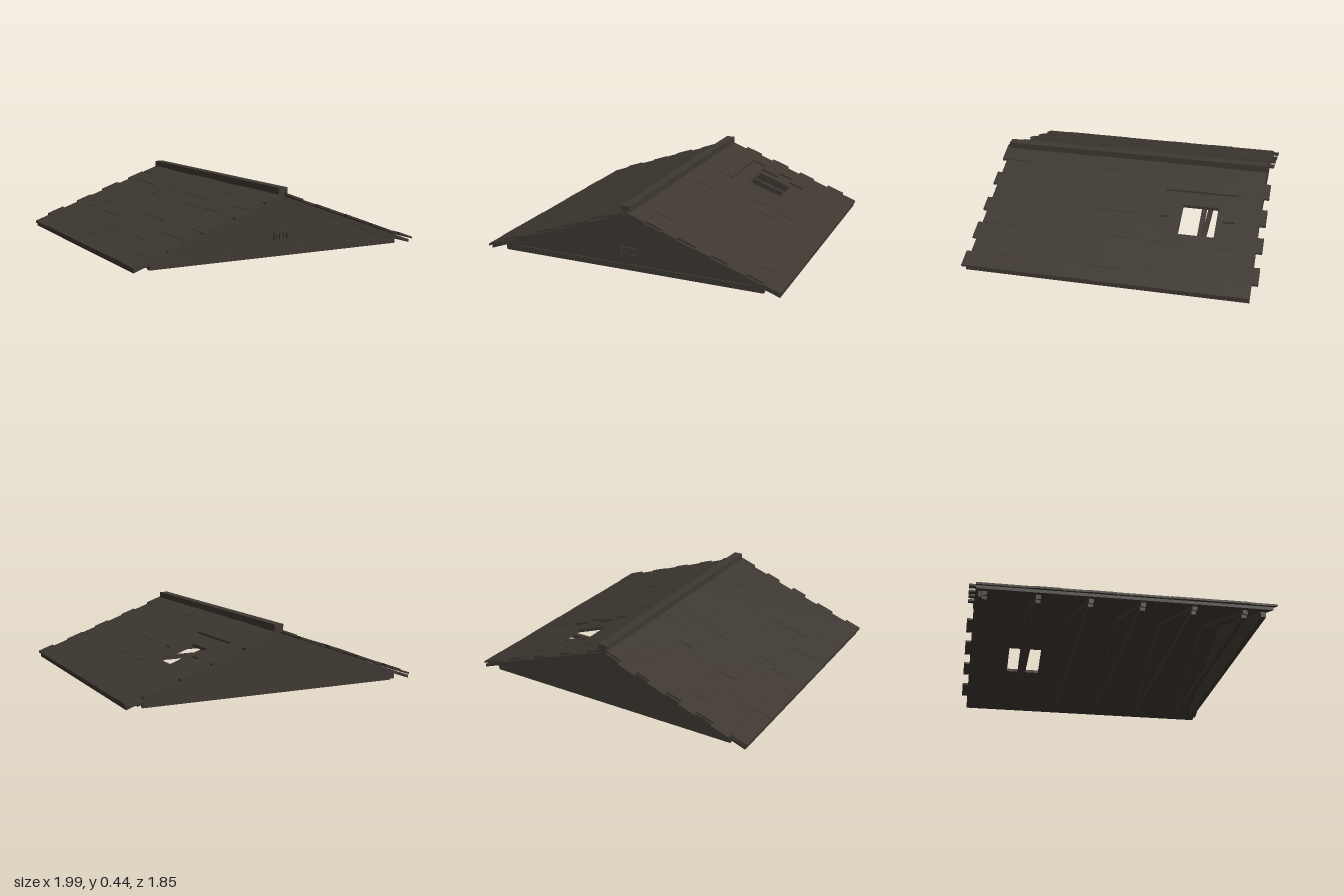
import * as THREE from 'three';
import { mergeGeometries } from 'three/addons/utils/BufferGeometryUtils.js';

const SLOPE = 0.36;
const BACK = -0.885, FRONT = 0.895;

export function createModel() {
  const roof = new THREE.Group();
  roof.name = 'gableRoof';
  const wood = new THREE.MeshStandardMaterial({ color: 0x3e3831 });
  wood.name = 'dark weathered wood';

  let seed = 7;
  const rand = () => (seed = (seed * 16807) % 2147483647) / 2147483647;

  const add = (name, geometry) => {
    const mesh = new THREE.Mesh(geometry, wood);
    mesh.name = name;
    roof.add(mesh);
    return mesh;
  };
  const box = (x0, x1, y0, y1, z0, z1) =>
    new THREE.BoxGeometry(x1 - x0, y1 - y0, z1 - z0)
      .translate((x0 + x1) / 2, (y0 + y1) / 2, (z0 + z1) / 2);
  // Drop a flat geometry onto the roof pitch on side s (+1 left, -1 right)
  const pitch = (geometry, s, slope = SLOPE) => {
    const p = geometry.attributes.position;
    for (let i = 0; i < p.count; i++) p.setY(i, p.getY(i) - slope * s * p.getX(i));
    geometry.computeVertexNormals();
    return geometry;
  };
  const slab = (s, x0, x1, y0, y1, z0, z1) =>
    pitch(box(Math.min(s * x0, s * x1), Math.max(s * x0, s * x1), y0, y1, z0, z1), s);
  const polygon = points => new THREE.Shape(points.map(([x, y]) => new THREE.Vector2(x, y)));
  const rect = (x0, x1, y0, y1) => [[x0, y0], [x1, y0], [x1, y1], [x0, y1]];
  const extrude = (shape, depth) =>
    new THREE.ExtrudeGeometry(shape, { depth, bevelEnabled: false });

  // Courses run from the ridge down to the eave
  const edges = [0.01, 0.13, 0.245, 0.34, 0.46, 0.555, 0.66, 0.775, 0.89, 0.995];

  for (const s of [1, -1]) {
    const side = s > 0 ? 'left' : 'right';

    // Deck boards, with a broken hole on one side
    const deck = polygon(rect(s > 0 ? 0 : -0.985, s > 0 ? 0.985 : 0, -FRONT, -BACK));
    if (s > 0) deck.holes.push(polygon(rect(0.34, 0.57, 0.38, 0.61)));
    add(side + 'Deck', pitch(
      extrude(deck, 0.02).rotateX(-Math.PI / 2).translate(0, 0.364, 0), s));

    // Shingles in staggered courses, slightly uneven, missing around the hole
    const shingles = [];
    for (let c = 0; c < 9; c++) {
      const odd = c % 2;
      const start = odd ? -0.925 : BACK, end = odd ? 0.89 : 0.92;
      const gap = odd ? [-0.65, -0.29] : [-0.73, -0.25];
      const runs = s > 0 && c >= 2 && c <= 5
        ? [[start, gap[0]], [gap[1], end]] : [[start, end]];
      for (const [z0, z1] of runs) {
        const n = Math.max(1, Math.round((z1 - z0) / 0.16));
        for (let i = 0; i < n; i++) {
          const w = (z1 - z0) / n, lift = rand() * 0.005;
          const overlap = c < 8 ? 0.004 * rand() : 0;
          shingles.push(slab(s, edges[c], edges[c + 1] + overlap,
            0.389 + lift, 0.402 + lift, z0 + i * w, z0 + (i + 1) * w));
        }
      }
    }
    add(side + 'Shingles', mergeGeometries(shingles));
  }

  // Ridge cap
  add('ridgeCap', box(-0.03, 0.03, 0.385, 0.435, -0.89, 0.9));

  // Gable walls
  const gable = [[-0.88, 0.012], [0.88, 0.012], [0.88, 0.05], [0, 0.368], [-0.88, 0.05]];
  for (const [name, z] of [['frontGable', 0.85], ['backGable', -0.87]])
    add(name, extrude(polygon(gable), 0.02).translate(0, 0, z));

  // Raised trim around the front gable
  const trim = polygon(gable);
  trim.holes.push(polygon([[-0.81, 0.048], [0.81, 0.048], [0, 0.362 - 0.002]]));
  add('frontGableTrim', extrude(trim, 0.012).translate(0, 0, 0.87));

  // Vent: open frame with upright slats
  const frame = polygon(rect(-0.052, 0.052, 0.108, 0.16));
  frame.holes.push(polygon(rect(-0.044, 0.044, 0.116, 0.152)));
  add('ventFrame', extrude(frame, 0.015).translate(0, 0, 0.87));
  for (let i = -1; i <= 1; i++)
    add('ventSlat', box(i * 0.027 - 0.008, i * 0.027 + 0.008, 0.114, 0.154, 0.868, 0.882));

  // Trusses: ceiling tie and a pair of rafters
  for (let i = 0; i < 6; i++) {
    const z = 0.745 - i * 0.3155;
    add('ceilingTie', box(-0.87, 0.87, 0, 0.03, z - 0.015, z + 0.015));
    for (const s of [1, -1])
      add('rafter', slab(s, 0, 0.9, 0.336, 0.366, z - 0.015, z + 0.015));
  }
  return roof;
}
